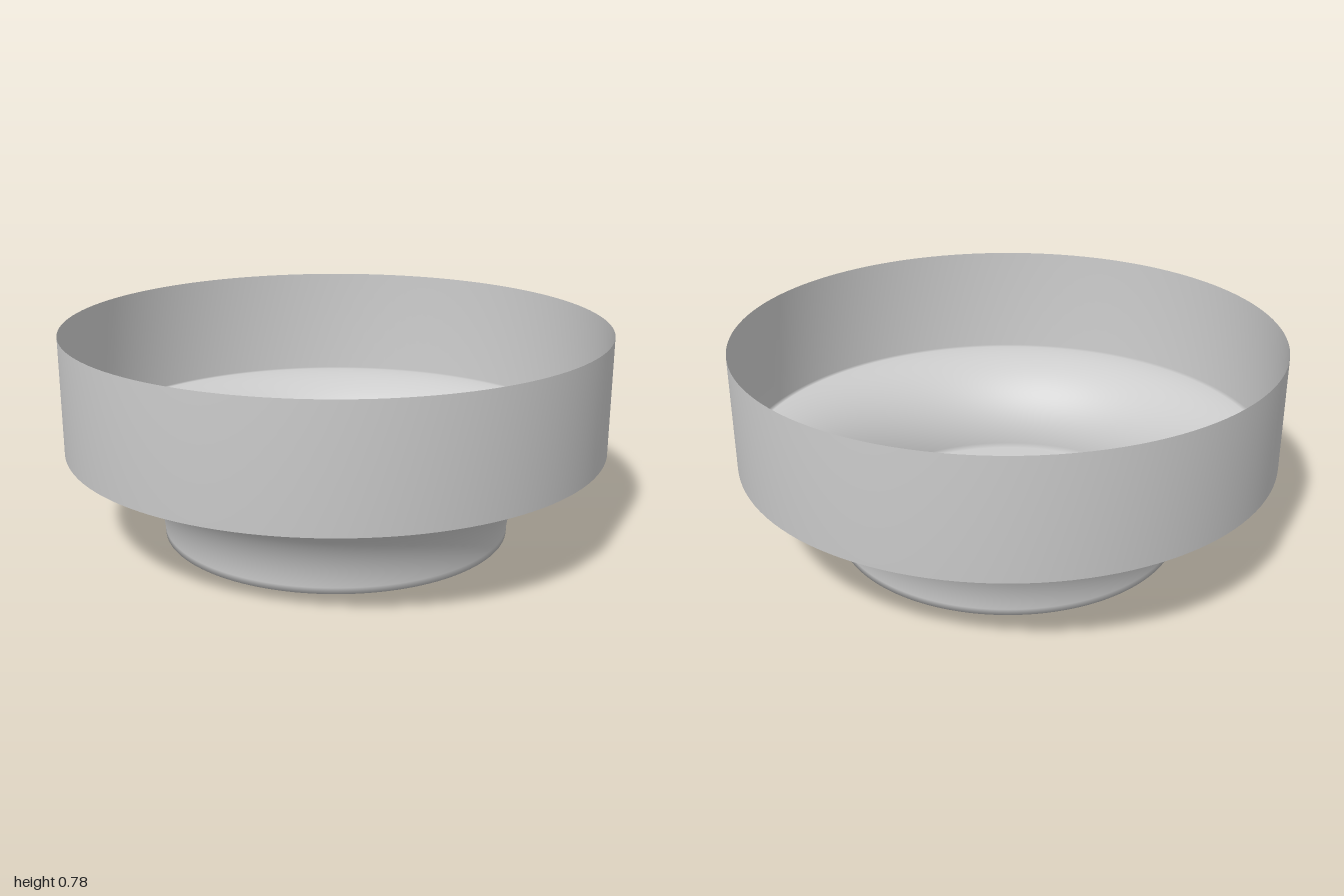
import * as THREE from 'three';

export function createModel() {
  const model = new THREE.Group();
  model.name = 'footedBowl';

  const grey = new THREE.MeshStandardMaterial({ color: 0xcccccc, side: THREE.DoubleSide });
  grey.name = 'light grey';

  const rim = 1, height = 0.78, cove = 0.35;

  // One thin shell: flat floor, coved foot, straight wall
  const profile = [new THREE.Vector2(0, 0)];
  const steps = 24;
  for (let i = 0; i <= steps; i++) {
    const a = (i / steps) * Math.PI / 2;
    profile.push(new THREE.Vector2(rim - cove * Math.cos(a), cove * Math.sin(a)));
  }
  profile.push(new THREE.Vector2(rim, height));
  const bowl = new THREE.Mesh(new THREE.LatheGeometry(profile, 128), grey);
  bowl.name = 'bowl';
  model.add(bowl);

  // Tiny upright ring in the middle of the floor
  const ring = new THREE.Mesh(new THREE.TorusGeometry(0.026, 0.014, 12, 32), grey);
  ring.name = 'centreRing';
  ring.position.y = 0.04;
  model.add(ring);

  return model;
}
